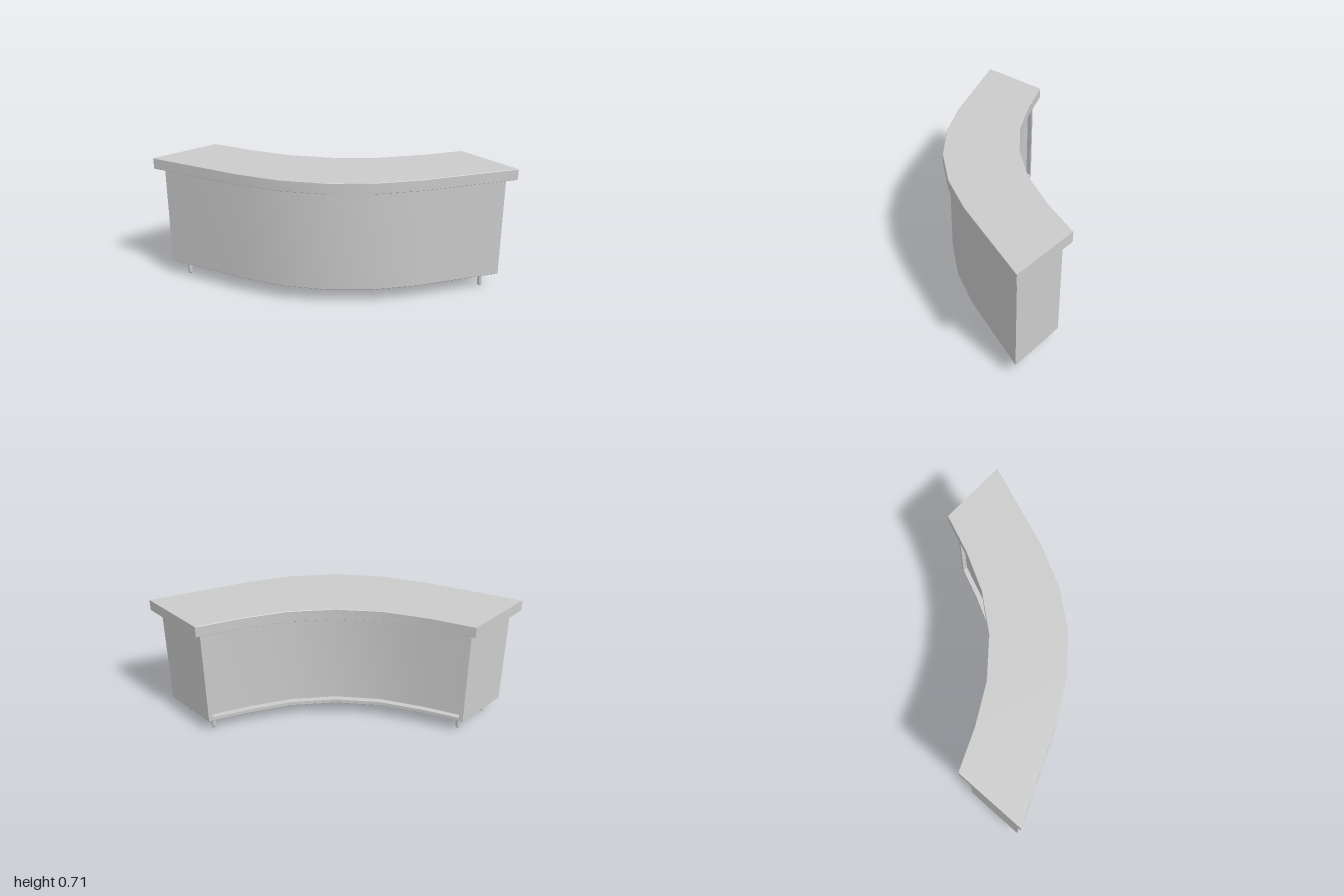
import * as THREE from 'three';
import { mergeGeometries, toCreasedNormals } from 'three/addons/utils/BufferGeometryUtils.js';

const material = new THREE.MeshStandardMaterial({ color: 0xcccccc });

// A station is [frontX, frontZ, backX, backZ]; mirror the right half to the left.
function mirrored(half) {
  const left = half.slice(1).reverse().map(([fx, fz, bx, bz]) => [-fx, fz, -bx, bz]);
  return [...left, ...half];
}

// Sweep a closed profile of [front-to-back fraction, y] along the stations.
function sweep(profile, stations, capped) {
  const pos = [];
  const point = ([fx, fz, bx, bz], [t, y]) => [fx + (bx - fx) * t, y, fz + (bz - fz) * t];
  const rings = stations.map((s) => profile.map((p) => point(s, p)));
  const tri = (a, b, c) => pos.push(...a, ...b, ...c);
  const n = profile.length;
  for (let i = 0; i < rings.length - 1; i++) {
    for (let j = 0; j < n; j++) {
      const k = (j + 1) % n;
      tri(rings[i][j], rings[i][k], rings[i + 1][k]);
      tri(rings[i][j], rings[i + 1][k], rings[i + 1][j]);
    }
  }
  if (capped) {
    const first = rings[0], last = rings[rings.length - 1];
    for (let j = 1; j < n - 1; j++) {
      tri(first[0], first[j + 1], first[j]);
      tri(last[0], last[j], last[j + 1]);
    }
  }
  const g = new THREE.BufferGeometry();
  g.setAttribute('position', new THREE.Float32BufferAttribute(pos, 3));
  return g;
}

// Rectangle with small chamfers, listed front top, front bottom, back bottom, back top.
function slab(y0, y1, t, h) {
  return [[t, y1], [0, y1 - h], [0, y0 + h], [t, y0], [1 - t, y0], [1, y0 + h], [1, y1 - h], [1 - t, y1]];
}

function addMesh(group, name, geometry) {
  const mesh = new THREE.Mesh(geometry, material);
  mesh.name = name;
  group.add(mesh);
  return mesh;
}

export function createModel() {
  const group = new THREE.Group();
  group.name = 'curvedCounter';

  // Overhanging countertop
  const topHalf = [
    [0, 0.297, 0, -0.115],
    [0.25, 0.271, 0.25, -0.14],
    [0.49, 0.199, 0.49, -0.212],
    [1, -0.015, 0.712, -0.303],
  ];
  const top = sweep(slab(0.652, 0.714, 0.006, 0.002), mirrored(topHalf), true);
  addMesh(group, 'countertop', toCreasedNormals(top, 0.6));

  // Body: a C-shaped section open to a shallow recess at the back, closed by end posts
  const y0 = 0.082, y1 = 0.652, rim = 0.025, recess = 0.09;
  const end = [0.94, -0.022, 0.7, -0.26];
  const inner = [0.485, 0.17, 0.485, -0.178];
  const mix = (i, s) => end[i] + (inner[i] - end[i]) * s;
  const post = [mix(0, 0.044), mix(1, 0.044), mix(2, 0.1), mix(3, 0.1)];
  const bodyHalf = [[0, 0.264, 0, -0.08], [0.25, 0.239, 0.25, -0.106], inner, post];
  const solid = slab(y0, y1, 0.012, 0.004);
  const open = [
    ...solid.slice(0, 6),
    [1, y0 + rim], [1 - recess, y0 + rim], [1 - recess, y1 - rim], [1, y1 - rim],
    ...solid.slice(6),
  ];
  const flip = ([fx, fz, bx, bz]) => [-fx, fz, -bx, bz];
  const body = mergeGeometries([
    sweep(open, mirrored(bodyHalf), false),
    sweep(solid, [post, end], true),
    sweep(solid, [flip(end), flip(post)], true),
  ]);
  addMesh(group, 'recessedBody', toCreasedNormals(body, 0.6));

  // Round feet with softened tips, two under each end
  const footProfile = [[0, 0], [0.006, 0.001], [0.0105, 0.006], [0.0125, 0.014], [0.0125, 0.09]];
  const foot = new THREE.LatheGeometry(footProfile.map(([r, y]) => new THREE.Vector2(r, y)), 20);
  for (const side of [-1, 1]) {
    const name = side > 0 ? 'left' : 'right';
    addMesh(group, name + 'FrontFoot', foot).position.set(side * 0.843, 0, -0.033);
    addMesh(group, name + 'BackFoot', foot).position.set(side * 0.687, 0, -0.198);
  }
  return group;
}
